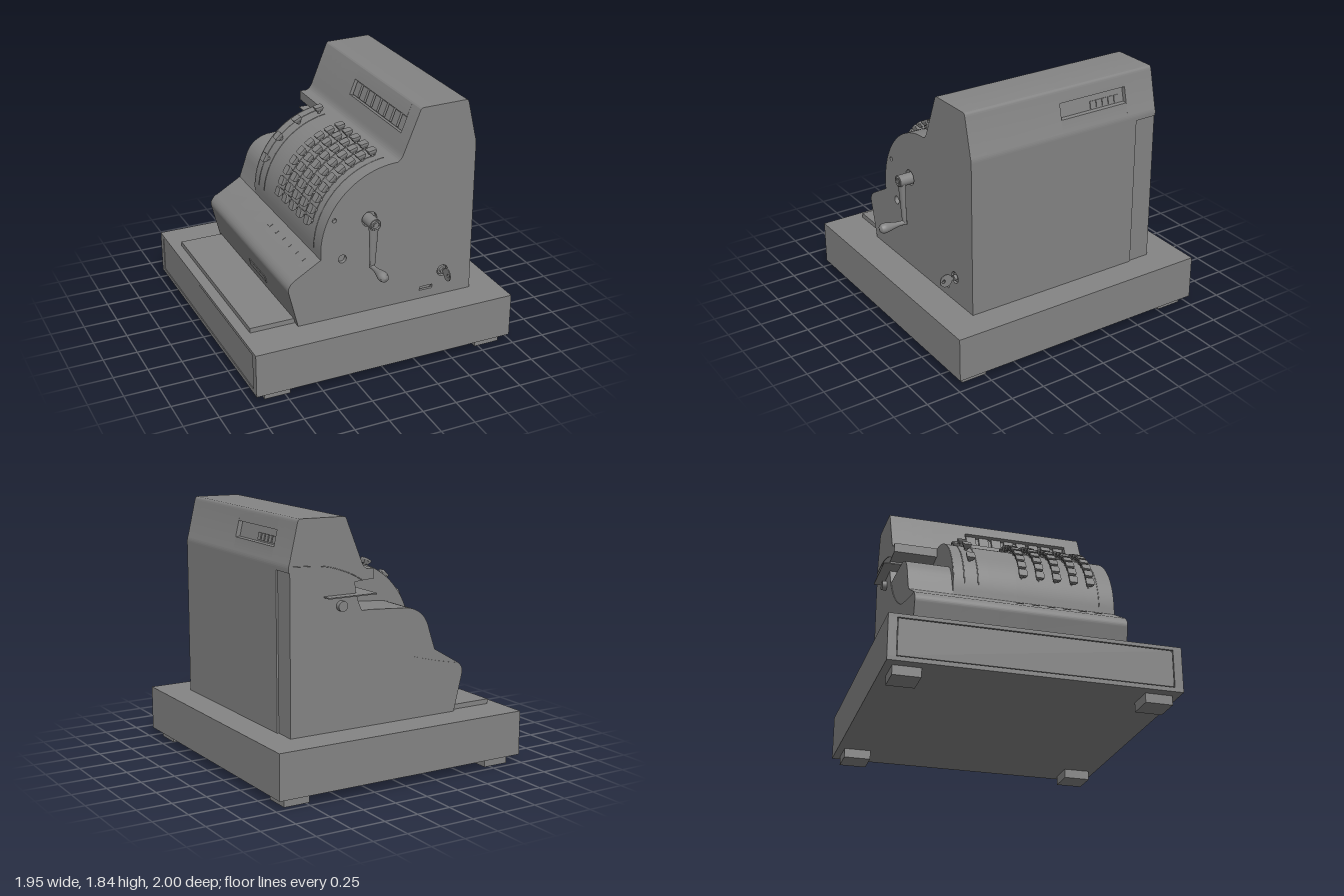
import * as THREE from 'three';
import { toCreasedNormals } from 'three/addons/utils/BufferGeometryUtils.js';

const material = new THREE.MeshStandardMaterial({ color: 0x848484, side: THREE.DoubleSide });
const ARC = { x: 0.17, y: 0.9, r: 0.57 }; // curve of the keyboard
const rad = THREE.MathUtils.degToRad;

function add(parent, name, geometry, x = 0, y = 0, z = 0, rz = 0) {
  const mesh = new THREE.Mesh(geometry, material);
  mesh.name = name;
  mesh.position.set(x, y, z);
  mesh.rotation.z = rz;
  parent.add(mesh);
  return mesh;
}

// box given by its limits
function block(parent, name, x0, x1, y0, y1, z0, z1) {
  return add(parent, name, new THREE.BoxGeometry(x1 - x0, y1 - y0, z1 - z0),
    (x0 + x1) / 2, (y0 + y1) / 2, (z0 + z1) / 2);
}

// side profile swept from z0 to z1
function sweep(parent, name, shape, z0, z1) {
  const g = new THREE.ExtrudeGeometry(shape, { depth: z1 - z0, bevelEnabled: false, curveSegments: 28 });
  return add(parent, name, toCreasedNormals(g, 0.5), 0, 0, z0);
}

// cylinder lying along z
function pin(parent, name, x, y, z0, z1, r) {
  const g = new THREE.CylinderGeometry(r, r, z1 - z0, 24).rotateX(Math.PI / 2);
  return add(parent, name, g, x, y, (z0 + z1) / 2);
}

// thin line following the keyboard curve
function arcLine(parent, name, z, tube, from, to) {
  const g = new THREE.TorusGeometry(ARC.r, tube, 6, 32, rad(to - from));
  add(parent, name, g, ARC.x, ARC.y, z, rad(from));
}

// back wall and tower, optionally notched for the display windows
function towerOutline(s, front, back, wallX = 0.765) {
  s.moveTo(-0.57, 0.385);
  s.lineTo(wallX, 0.385);
  s.lineTo(wallX, 1.49);
  s.lineTo(0.765, 1.49);
  s.lineTo(0.765, 1.51);
  s.quadraticCurveTo(0.765, 1.53, 0.757, 1.55);
  if (back) [[0.738, 1.63], [0.705, 1.632], [0.682, 1.732], [0.712, 1.74]].forEach(p => s.lineTo(...p));
  s.lineTo(0.696, 1.81);
  s.quadraticCurveTo(0.69, 1.835, 0.675, 1.835);
  s.lineTo(0.35, 1.83);
  s.quadraticCurveTo(0.335, 1.83, 0.328, 1.815);
  if (front) [[0.292, 1.73], [0.33, 1.715], [0.287, 1.605], [0.249, 1.62]].forEach(p => s.lineTo(...p));
  s.lineTo(0.21, 1.525);
  s.quadraticCurveTo(0.19, 1.475, 0.16, 1.47);
}

// rounded lip below the keyboard
function lip(s) {
  s.lineTo(-0.595, 0.74);
  s.quadraticCurveTo(-0.65, 0.7, -0.635, 0.65);
  s.lineTo(-0.57, 0.385);
}

function bodyShape(front, back) {
  const s = new THREE.Shape();
  towerOutline(s, front, back);
  s.absarc(ARC.x, ARC.y, ARC.r, Math.PI / 2, Math.PI, false);
  s.lineTo(-0.4, 0.855);
  lip(s);
  return s;
}

// crank side skin with its openings
function skinShape() {
  const s = bodyShape(false, false);
  for (const [x, y, r] of [[-0.04, 1.09, 0.056], [-0.24, 0.83, 0.03], [-0.3, 1.13, 0.016], [0.54, 0.57, 0.042]])
    s.holes.push(new THREE.Path().absarc(x, y, r, 0, Math.PI * 2, true));
  s.holes.push(new THREE.Path([[0.36, 0.448], [0.36, 0.476], [0.46, 0.476], [0.46, 0.448]]
    .map(p => new THREE.Vector2(...p))));
  return s;
}

// printer end: open under the tower, with a hollow sweep down to the lip
function endShape(back, wallX) {
  const s = new THREE.Shape();
  towerOutline(s, false, back, wallX);
  s.lineTo(0.11, 1.47);
  s.lineTo(0.11, 1.4);
  s.lineTo(0.26, 1.39);
  s.bezierCurveTo(0.25, 1.15, 0.03, 0.93, -0.2, 0.83);
  s.quadraticCurveTo(-0.4, 0.77, -0.57, 0.74);
  lip(s);
  return s;
}

function coverShape() {
  const s = new THREE.Shape();
  s.moveTo(-0.57, 0.385);
  s.lineTo(0.3, 0.385);
  s.lineTo(0.3, 1.19);
  s.lineTo(0.13, 1.19);
  s.lineTo(-0.17, 1.17);
  s.bezierCurveTo(-0.28, 1.15, -0.33, 1.08, -0.35, 1.0);
  s.lineTo(-0.4, 0.855);
  lip(s);
  return s;
}

// key cap on a flared base, placed around the keyboard curve
function addKey(parent, angle, z) {
  const key = new THREE.Group();
  key.name = 'key';
  key.position.set(ARC.x - Math.sin(angle) * ARC.r, ARC.y + Math.cos(angle) * ARC.r, z);
  key.rotation.z = angle;
  add(key, 'keyStem', new THREE.CylinderGeometry(0.012, 0.012, 0.035, 8), 0, 0.008);
  const flare = new THREE.CylinderGeometry(0.042, 0.026, 0.026, 4, 1).rotateY(Math.PI / 4);
  add(key, 'keyFlare', toCreasedNormals(flare, 0.4), 0, 0.029);
  const a = 0.031, c = 0.01, s = new THREE.Shape();
  [[1, 1], [-1, 1], [-1, -1], [1, -1]].forEach(([x, y], i) =>
    s.absarc(x * (a - c), y * (a - c), c, i * Math.PI / 2, (i + 1) * Math.PI / 2, false));
  const cap = new THREE.ExtrudeGeometry(s, { depth: 0.014, bevelEnabled: false, curveSegments: 3 });
  add(key, 'keyCap', cap.rotateX(-Math.PI / 2), 0, 0.04);
  parent.add(key);
}

export function createModel() {
  const model = new THREE.Group();
  model.name = 'cashRegister';

  // base with recessed drawer front, feet and counter plate
  block(model, 'base', -0.962, 0.975, 0.065, 0.385, -1, 0.98);
  for (const [y0, y1] of [[0.065, 0.095], [0.36, 0.385]])
    block(model, 'drawerFrameRail', -0.975, -0.962, y0, y1, -1, 0.98);
  for (const [z0, z1] of [[-1, -0.94], [0.92, 0.98]])
    block(model, 'drawerFramePost', -0.975, -0.962, 0.095, 0.36, z0, z1);
  block(model, 'drawerFront', -0.972, -0.962, 0.1, 0.355, -0.935, 0.915);
  for (const x of [-0.9, 0.725]) for (const z of [-0.95, 0.74])
    block(model, 'foot', x, x + 0.19, 0, 0.065, z, z + 0.19);
  block(model, 'counterPlate', -0.9, -0.55, 0.385, 0.42, -0.72, 0.69);

  // housing in slices, so the windows are true recesses
  sweep(model, 'housing', bodyShape(false, true), -0.44, -0.18);
  sweep(model, 'housing', bodyShape(true, true), -0.18, 0.02);
  sweep(model, 'housing', bodyShape(true, false), 0.02, 0.62);
  sweep(model, 'housing', bodyShape(false, false), 0.62, 0.715);
  sweep(model, 'crankSide', skinShape(), 0.715, 0.745);
  sweep(model, 'printerEnd', endShape(false, 0.755), -0.76, -0.6);
  sweep(model, 'printerEnd', endShape(false), -0.595, -0.52);
  sweep(model, 'printerEnd', endShape(true), -0.52, -0.44);
  sweep(model, 'backSeam', endShape(false, 0.74), -0.602, -0.593);
  sweep(model, 'printerCover', coverShape(), -0.755, -0.44);
  const seam = new THREE.CatmullRomCurve3([[0.757, 1.53], [0.485, 1.51], [0.3, 1.45], [0.2, 1.395]]
    .map(([x, y]) => new THREE.Vector3(x, y, -0.76)));
  add(model, 'towerSeam', new THREE.TubeGeometry(seam, 24, 0.003, 6));

  // display flags
  for (let i = 0; i < 8; i++)
    add(model, 'frontFlag', new THREE.BoxGeometry(0.018, 0.1, 0.075), 0.296, 1.665, -0.13 + i * 0.1, -0.37);
  for (let i = 0; i < 5; i++)
    add(model, 'rearFlag', new THREE.BoxGeometry(0.01, 0.05, 0.038), 0.699, 1.665, -0.46 + i * 0.05, 0.22);

  // keyboard: five full columns and one column of function keys
  const step = rad(7.8), first = rad(10.5);
  for (const z of [0.06, 0.185, 0.31, 0.435, 0.56]) {
    for (let i = 0; i < 9; i++) addKey(model, first + i * step, z);
    arcLine(model, 'keySlot', z, 0.004, 98, 165);
  }
  for (let i = 0; i < 4; i++) addKey(model, first + i * 2.2 * step, -0.31);
  for (const z of [-0.36, -0.26]) arcLine(model, 'guideSlot', z, 0.004, 98, 175);
  for (const z of [-0.437, 0.63]) arcLine(model, 'panelEdge', z, 0.003, 95, 180);

  // lip details
  for (let i = 0; i < 6; i++)
    add(model, 'lipSlot', new THREE.BoxGeometry(0.03, 0.005, 0.05), -0.47, 0.814, 0.02 + i * 0.115, 0.53);
  add(model, 'drawerPull', new THREE.BoxGeometry(0.012, 0.05, 0.3), -0.6, 0.51, 0.1, 0.25);

  // paper table and knob at the printer end
  block(model, 'paperTable', 0.13, 0.5, 1.305, 1.313, -0.83, -0.55);
  pin(model, 'paperKnob', 0.37, 1.24, -0.795, -0.75, 0.035);

  // crank
  const crank = new THREE.Group();
  crank.name = 'crank';
  model.add(crank);
  pin(crank, 'crankHub', -0.04, 1.085, 0.71, 0.838, 0.042);
  add(crank, 'crankHubRing', new THREE.TorusGeometry(0.03, 0.006, 8, 24), -0.04, 1.085, 0.838);
  pin(crank, 'crankBolt', -0.04, 1.085, 0.83, 0.845, 0.016);
  const arm = new THREE.CylinderGeometry(0.036, 0.018, 0.33, 20).scale(1, 1, 0.72);
  add(crank, 'crankArm', arm, -0.04, 0.91, 0.805).rotation.x = 0.03;
  const grip = [[0.02, 0], [0.017, 0.04], [0.02, 0.08], [0.034, 0.15], [0.036, 0.18], [0.028, 0.205]];
  const curve = new THREE.SplineCurve(grip.map(p => new THREE.Vector2(...p)));
  const outline = [new THREE.Vector2(0, 0), ...curve.getPoints(20), new THREE.Vector2(0, 0.215)];
  add(crank, 'crankGrip', new THREE.LatheGeometry(outline, 24).rotateX(Math.PI / 2), -0.04, 0.755, 0.785);

  // lock with key
  pin(model, 'lock', 0.54, 0.57, 0.71, 0.735, 0.034);
  pin(model, 'lockBarrel', 0.54, 0.57, 0.73, 0.757, 0.02);
  block(model, 'lockKeyBlade', 0.536, 0.544, 0.558, 0.582, 0.75, 0.8);
  const bow = new THREE.Shape().absarc(0, 0, 0.047, 0, Math.PI * 2);
  bow.holes.push(new THREE.Path().absarc(-0.02, 0, 0.013, 0, Math.PI * 2, true));
  const bowGeo = new THREE.ExtrudeGeometry(bow, { depth: 0.008, bevelEnabled: false, curveSegments: 20 });
  add(model, 'lockKeyBow', bowGeo.rotateY(Math.PI / 2), 0.536, 0.568, 0.815);
  block(model, 'slotPlate', 0.367, 0.453, 0.454, 0.47, 0.71, 0.735);
  return model;
}
